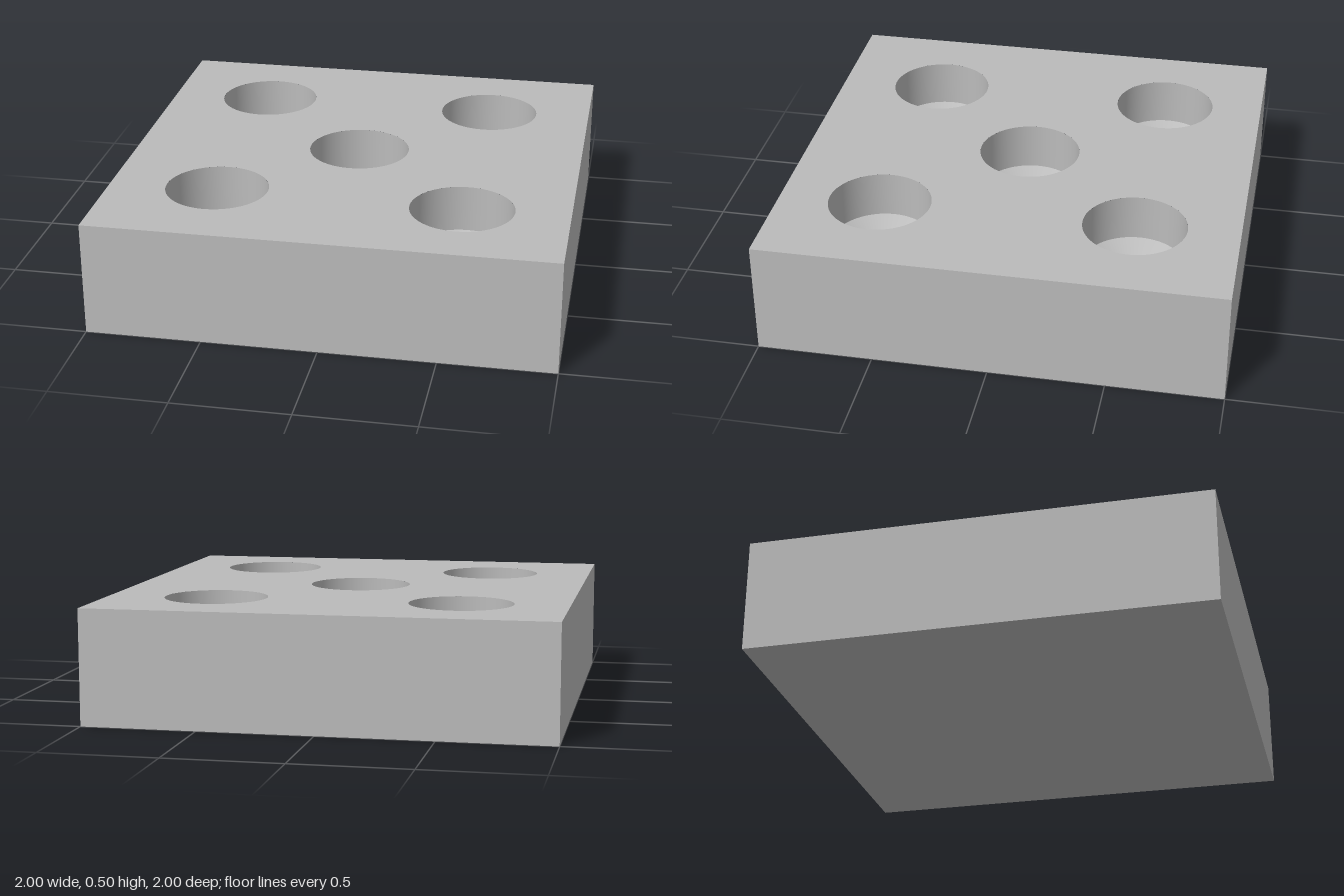
import * as THREE from 'three';

const HEIGHT = 0.5, RADIUS = 0.224, SEGMENTS = 64, CONE_DEPTH = 0.14;

// Drilled holes: x, z and depth of the straight wall
const HOLES = [
  [0, 0, 0.21],
  [-0.54, -0.55, 0.21],
  [0.53, -0.55, 0.205],
  [-0.53, 0.53, 0.21],
  [0.54, 0.56, 0.205],
];

export function createModel() {
  const model = new THREE.Group();
  model.name = 'drilledBlock';
  const grey = new THREE.MeshStandardMaterial({ color: 0xbbbbbb });
  grey.name = 'grey';

  const add = (name, geometry, parent = model) => {
    const mesh = new THREE.Mesh(geometry, grey);
    mesh.name = name;
    parent.add(mesh);
    return mesh;
  };

  // Sides and underside: a box without its top face
  const box = new THREE.BoxGeometry(2, HEIGHT, 2);
  const faces = Array.from(box.index.array);
  faces.splice(12, 6);
  box.setIndex(faces);
  box.clearGroups();
  box.translate(0, HEIGHT / 2, 0);
  add('blockSides', box);

  // Top face with round openings
  const top = new THREE.Shape([[-1, -1], [1, -1], [1, 1], [-1, 1]].map(([x, y]) => new THREE.Vector2(x, y)));
  for (const [x, z] of HOLES) {
    top.holes.push(new THREE.Path().absarc(x, -z, RADIUS, 0, Math.PI * 2, true));
  }
  const topGeometry = new THREE.ShapeGeometry(top, SEGMENTS);
  topGeometry.rotateX(-Math.PI / 2);
  topGeometry.translate(0, HEIGHT, 0);
  add('blockTop', topGeometry);

  // Each hole has a straight wall and a conical floor, profiled downwards so they face inwards
  HOLES.forEach(([x, z, depth], i) => {
    const hole = new THREE.Group();
    hole.name = `hole${i + 1}`;
    hole.position.set(x, 0, z);
    const floor = HEIGHT - depth;
    const lathe = (...points) =>
      new THREE.LatheGeometry(points.map(([r, y]) => new THREE.Vector2(r, y)), SEGMENTS);
    add('holeWall', lathe([RADIUS, HEIGHT], [RADIUS, floor]), hole);
    add('holeCone', lathe([RADIUS, floor], [0, floor - CONE_DEPTH]), hole);
    model.add(hole);
  });

  return model;
}
